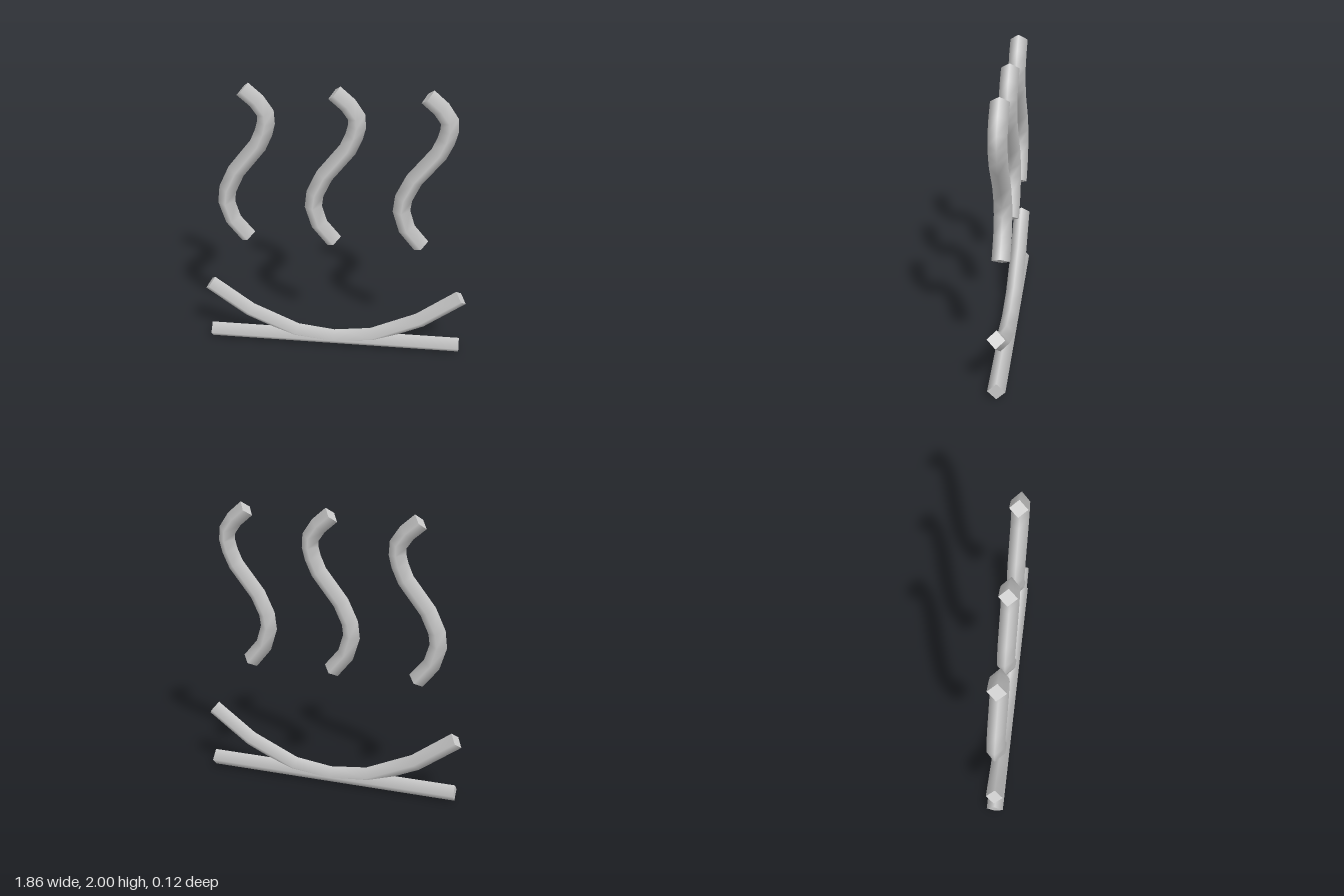
import * as THREE from 'three';

const RADIUS = 0.06;

// Curve whose samples are exactly the given ring centres
class RingPath extends THREE.Curve {
  constructor(points) {
    super();
    this.points = points.map(([x, y]) => new THREE.Vector3(x, y, 0));
  }
  index(u) {
    return Math.round(u * (this.points.length - 1));
  }
  getPoint(u, target = new THREE.Vector3()) {
    return target.copy(this.points[this.index(u)]);
  }
  getPointAt(u, target) {
    return this.getPoint(u, target);
  }
  getTangent(u, target = new THREE.Vector3()) {
    const p = this.points, i = this.index(u);
    const before = p[Math.max(i - 1, 0)], after = p[Math.min(i + 1, p.length - 1)];
    return target.subVectors(after, before).normalize();
  }
  getTangentAt(u, target) {
    return this.getTangent(u, target);
  }
}

// Four-sided smooth rod with flat end caps
function rod(name, points, material) {
  const group = new THREE.Group();
  group.name = name;
  const path = new RingPath(points);
  const tube = new THREE.Mesh(new THREE.TubeGeometry(path, points.length - 1, RADIUS, 4), material);
  tube.name = name + 'Tube';
  group.add(tube);

  const zAxis = new THREE.Vector3(0, 0, 1);
  for (const end of [0, 1]) {
    const out = path.getTangentAt(end).multiplyScalar(end ? 1 : -1);
    const side = new THREE.Vector3().crossVectors(zAxis, out);
    const cap = new THREE.Mesh(new THREE.CircleGeometry(RADIUS, 4), material);
    cap.name = name + 'Cap';
    cap.quaternion.setFromRotationMatrix(new THREE.Matrix4().makeBasis(side, zAxis, out));
    cap.position.copy(path.getPointAt(end));
    group.add(cap);
  }
  return group;
}

export function createModel() {
  const model = new THREE.Group();
  model.name = 'steamingDishSign';
  const grey = new THREE.MeshStandardMaterial({ color: 0xcccccc });
  grey.name = 'lightGrey';

  // Straight base and shallow bowl curve resting on it
  model.add(rod('baseBar', [[-0.9, 0.06], [0.9, 0.06]], grey));
  const half = [[0.895, 0.46], [0.614, 0.251], [0.277, 0.097]];
  const bowl = [...half.map(([x, y]) => [-x, y]), [0, 0.062], ...half.slice().reverse()];
  model.add(rod('bowlCurve', bowl, grey));

  // Three rising wavy strokes
  const wave = [
    [0, 0.863], [-0.103, 0.99], [-0.144, 1.125], [-0.132, 1.222], [-0.068, 1.36],
    [0.088, 1.56], [0.13, 1.655], [0.148, 1.726], [0.146, 1.793], [0.09, 1.876], [0, 1.955],
  ];
  [-0.6, 0, 0.6].forEach((x, i) => {
    const stroke = rod(['rightWave', 'middleWave', 'leftWave'][i], wave, grey);
    stroke.position.x = x;
    model.add(stroke);
  });
  return model;
}
